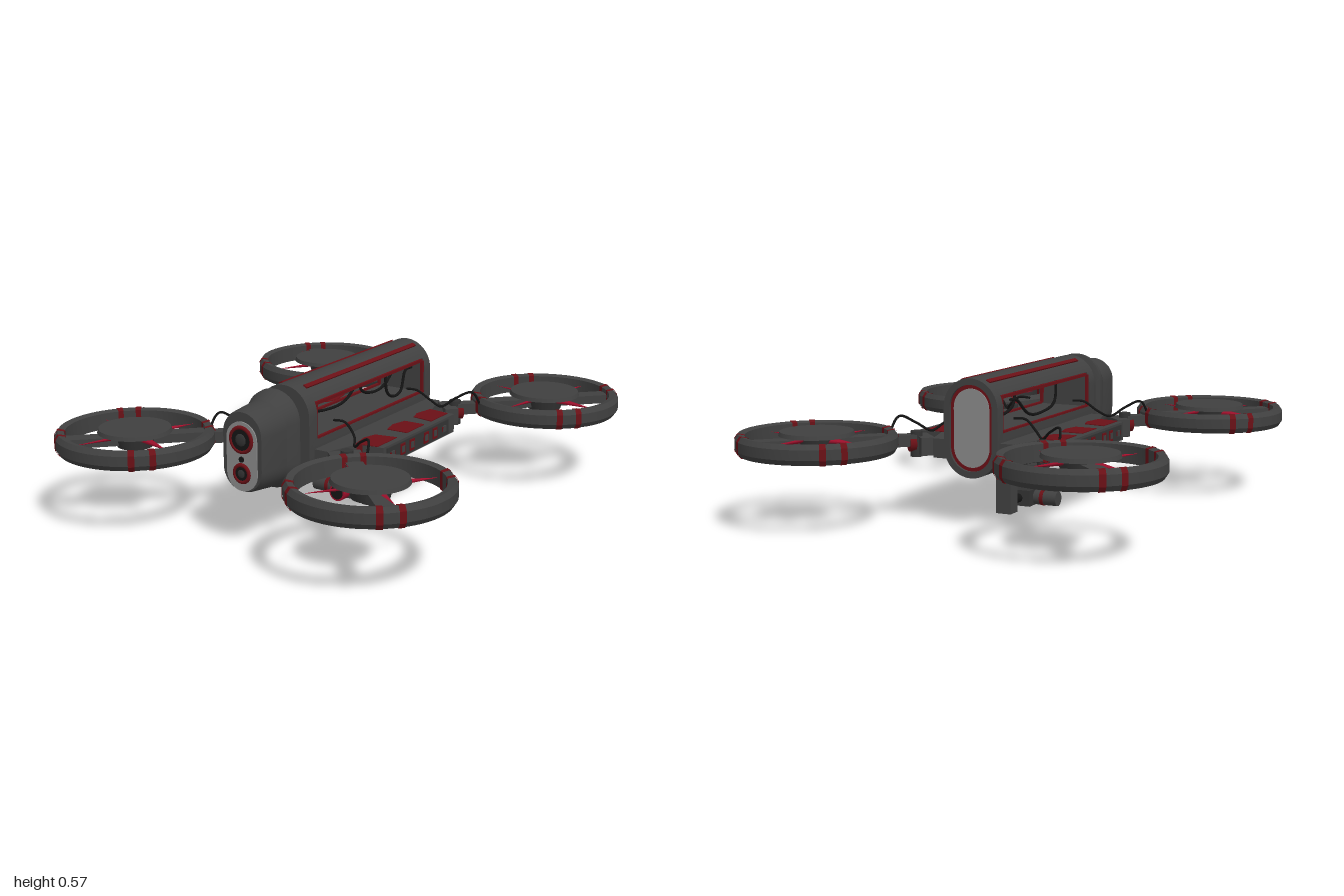
import * as THREE from 'three';
import { toCreasedNormals } from 'three/addons/utils/BufferGeometryUtils.js';

const mat = (color) => new THREE.MeshStandardMaterial({ color, side: THREE.DoubleSide });
const dark = mat(0x404040), mid = mat(0x333333), black = mat(0x141414);
const red = mat(0x6a1016), brightRed = mat(0xa0102c), grey = mat(0x8a8a8a);

function add(parent, name, geo, material, x = 0, y = 0, z = 0) {
  const m = new THREE.Mesh(geo, material);
  m.name = name;
  m.position.set(x, y, z);
  parent.add(m);
  return m;
}
const box = (w, h, d) => new THREE.BoxGeometry(w, h, d);
const cyl = (r1, r2, h, n = 32) => new THREE.CylinderGeometry(r1, r2, h, n);
const cylZ = (r1, r2, h, n = 32) => cyl(r1, r2, h, n).rotateX(Math.PI / 2);
const tube = (pts, r) => new THREE.TubeGeometry(
  new THREE.CatmullRomCurve3(pts.map((p) => new THREE.Vector3(...p))), 32, r, 8);

// Upright stadium outline: half width r, from y0 to y1, counter-clockwise
function stadium(r, y0, y1, n = 20) {
  const pts = [];
  for (let half = 0; half < 2; half++) {
    for (let i = 0; i <= n; i++) {
      const a = Math.PI * (half + i / n);
      pts.push(new THREE.Vector2(r * Math.cos(a), (half ? y0 + r : y1 - r) + r * Math.sin(a)));
    }
  }
  return pts;
}
// Extrudes an outline from z0 to z1
function extrude(pts, z0, z1, hole) {
  const shape = new THREE.Shape(pts);
  if (hole) shape.holes.push(new THREE.Path(hole));
  const g = new THREE.ExtrudeGeometry(shape, { depth: z1 - z0, bevelEnabled: false });
  return toCreasedNormals(g.translate(0, 0, z0), 0.6);
}
// Skins stadium sections [z, r, y0, y1] and closes both ends
function loft(sections) {
  const cap = ([z, , a, b]) => [z, 0, (a + b) / 2, (a + b) / 2];
  const all = [cap(sections[0]), ...sections, cap(sections[sections.length - 1])];
  const pos = [], idx = [];
  let n = 0;
  for (const [z, r, y0, y1] of all) {
    const ring = stadium(r, y0, y1);
    n = ring.length;
    ring.forEach((p) => pos.push(p.x, p.y, z));
  }
  for (let i = 0; i < all.length - 1; i++) {
    for (let j = 0; j < n; j++) {
      const a = i * n + j, b = i * n + (j + 1) % n;
      idx.push(a, b, b + n, a, b + n, a + n);
    }
  }
  const g = new THREE.BufferGeometry();
  g.setAttribute('position', new THREE.Float32BufferAttribute(pos, 3));
  g.setIndex(idx);
  return toCreasedNormals(g, 0.5);
}

function fuselage() {
  const g = new THREE.Group();
  g.name = 'fuselage';
  const R = 0.115, Y0 = 0.2, Y1 = 0.583;
  const outline = stadium(R, Y0, Y1);
  // Lower hull, roof and end frames leave an open window through the sides
  const hull = outline.map((p) => new THREE.Vector2(p.x, Math.min(p.y, 0.375)));
  add(g, 'lowerHull', extrude(hull, -0.44, 0.45), dark);
  add(g, 'roof', extrude(outline.filter((p) => p.y > 0.513), -0.44, 0.45), dark);
  add(g, 'frontFrame', extrude(outline, 0.395, 0.45), dark);
  add(g, 'rearBulkhead', extrude(stadium(0.112, 0.203, 0.58), -0.44, -0.41), dark);
  add(g, 'rearFrame', extrude(outline, -0.457, -0.41, stadium(0.09, 0.225, 0.558)), dark);
  add(g, 'rearTrim', extrude(stadium(0.09, 0.225, 0.558), -0.446, -0.435), red);
  add(g, 'rearPanel', extrude(stadium(0.075, 0.24, 0.543), -0.45, -0.435), grey);
  for (const s of [-1, 1]) {
    const strip = add(g, 'roofStrip', box(0.018, 0.012, 0.81), red, s * 0.055, 0.568, -0.015);
    strip.rotation.z = -s * 0.5;
    add(g, 'windowTrimTop', box(0.012, 0.012, 0.8), red, s * 0.098, 0.51, -0.01);
    add(g, 'windowTrimBottom', box(0.012, 0.012, 0.8), red, s * 0.108, 0.377, -0.01);
    for (const z of [-0.405, 0.39]) add(g, 'windowTrimEnd', box(0.012, 0.13, 0.01), red, s * 0.105, 0.445, z);
  }
  // Loose cables inside the bay
  [[-0.05, 0.2, -0.2, 0.39], [0.0, -0.08, -0.38, 0.41], [0.05, -0.2, -0.39, 0.38]].forEach(([x, a, b, y]) =>
    add(g, 'bayCable', tube([[x, 0.52, a], [x, y + 0.03, a - 0.015], [x, y, a * 0.65 + b * 0.35],
      [x, y + 0.01, a * 0.35 + b * 0.65], [x, 0.47, b + 0.03], [x, 0.475, b - 0.02]], 0.006), black));
  return g;
}

function head() {
  const g = new THREE.Group();
  g.name = 'head';
  const folds = [0, 1, 2, 3, 4].map((i) => {
    const k = i % 2 ? 0 : 0.025;
    return [0.44 + i * 0.018, 0.078 - k, 0.25 + k, 0.53 - k];
  });
  add(g, 'bellows', loft(folds), black);
  add(g, 'collar', loft([[0.5, 0.098, 0.23, 0.55], [0.51, 0.115, 0.2, 0.583],
    [0.53, 0.115, 0.202, 0.581], [0.585, 0.092, 0.23, 0.553]]), dark);
  add(g, 'headShell', loft([[0.575, 0.1, 0.22, 0.553], [0.6, 0.1, 0.22, 0.553],
    [0.7, 0.092, 0.232, 0.545], [0.715, 0.086, 0.238, 0.54]]), dark);
  add(g, 'facePanel', extrude(stadium(0.068, 0.24, 0.505), 0.7, 0.72), grey);
  for (const [y, r] of [[0.437, 0.052], [0.308, 0.038]]) {
    add(g, 'lensRing', new THREE.TorusGeometry(r - 0.006, 0.008, 10, 32), red, 0, y, 0.72);
    add(g, 'lens', cylZ(r - 0.008, r - 0.008, 0.01), black, 0, y, 0.72);
    add(g, 'lensGlass', new THREE.SphereGeometry(r * 0.5, 20, 8).scale(1, 1, 0.3), mid, 0, y, 0.722);
  }
  add(g, 'sensor', cylZ(0.011, 0.011, 0.008, 16), black, 0, 0.362, 0.72);
  return g;
}

// Flat side deck with red panels; s is +1 or -1
function sideDeck(s) {
  const g = new THREE.Group();
  g.name = 'sideDeck';
  const flat = (pts, top, depth) => new THREE.ExtrudeGeometry(
    new THREE.Shape(pts.map(([x, z]) => new THREE.Vector2(s * x, z))),
    { depth, bevelEnabled: false }).rotateX(Math.PI / 2).translate(0, top, 0);
  add(g, 'deck', flat([[0.08, -0.44], [0.172, -0.44], [0.215, -0.3], [0.325, -0.29],
    [0.325, 0.262], [0.215, 0.275], [0.172, 0.415], [0.08, 0.415]], 0.34, 0.075), dark);
  for (const [a, b, skew] of [[-0.28, -0.145, -0.015], [-0.09, 0.045, 0], [0.12, 0.262, 0.015]]) {
    add(g, 'deckPanel', flat([[0.3, a], [0.3, b], [0.21, b + skew], [0.195, (a + b) / 2], [0.21, a + skew]],
      0.343, 0.081), red);
  }
  add(g, 'sideSlot', box(0.008, 0.06, 0.475), mid, s * 0.325, 0.302, 0);
  for (const z of [-0.2, -0.125, -0.055, 0.055, 0.125, 0.2]) {
    add(g, 'sideMark', box(0.012, Math.abs(z) > 0.15 ? 0.018 : 0.045, 0.035), red, s * 0.326, 0.302, z);
    add(g, 'sideRib', box(0.016, 0.025, 0.022), dark, s * 0.326, 0.302, z);
  }
  return g;
}

// Ducted rotor built with local +x pointing away from the body
function rotor(x, z, bladeAngle) {
  const g = new THREE.Group();
  g.name = 'rotor';
  g.position.set(x, 0, z);
  const out = Math.atan2(-Math.sign(z), Math.sign(x));
  g.rotation.y = out;
  const ringProfile = [[0.27, 0.305], [0.295, 0.298], [0.308, 0.318], [0.308, 0.357], [0.295, 0.376], [0.27, 0.37], [0.27, 0.305]];
  const ring = (grow, start, len, n) => toCreasedNormals(new THREE.LatheGeometry(ringProfile.map(([r, y]) =>
    new THREE.Vector2(r + (r > 0.28 ? grow : -grow), y + (y > 0.337 ? grow : -grow))), n, start, len), 0.5);
  add(g, 'duct', ring(0, 0, Math.PI * 2, 64), dark);
  for (let q = 0; q < 4; q++) {
    for (const d of [-0.13, 0.13]) add(g, 'ductBand', ring(0.002, q * Math.PI / 2 + d - 0.04, 0.08, 3), red);
  }
  add(g, 'hubDisc', cyl(0.14, 0.145, 0.016, 48), dark, 0, 0.373, 0);
  add(g, 'motor', cyl(0.085, 0.07, 0.06), mid, 0, 0.337, 0);
  add(g, 'motorCap', cyl(0.045, 0.035, 0.02), dark, 0, 0.3, 0);
  for (const s of [-1, 1]) add(g, 'spoke', box(0.22, 0.035, 0.065), dark, s * 0.17, 0.335, 0);
  // Four slim tapered blades
  for (let i = 0; i < 4; i++) {
    const holder = new THREE.Group();
    holder.name = 'blade';
    holder.rotation.y = -bladeAngle * Math.PI / 180 - out + i * Math.PI / 2;
    g.add(holder);
    const blade = new THREE.ConeGeometry(0.018, 0.19, 6).rotateZ(-Math.PI / 2).scale(1, 0.4, 1);
    add(holder, 'bladeTip', blade, brightRed, 0.165, 0.35, 0).rotation.x = 0.5;
  }
  // Folding arm reaching inward to the body
  const along = (r, len, n = 20) => cyl(r, r, len, n).rotateZ(Math.PI / 2);
  add(g, 'armNeck', box(0.11, 0.045, 0.05), dark, -0.33, 0.325, 0);
  add(g, 'armCollar', along(0.032, 0.025), red, -0.372, 0.312, 0);
  add(g, 'hingeBlock', box(0.055, 0.07, 0.125), dark, -0.42, 0.305, 0);
  add(g, 'hingePin', cyl(0.024, 0.024, 0.1, 20), mid, -0.39, 0.31, 0);
  add(g, 'armRoot', along(0.027, 0.13), mid, -0.49, 0.305, 0);
  return g;
}

function gimbal() {
  const g = new THREE.Group();
  g.name = 'gimbal';
  const profile = [[0, 0.215], [0.06, 0.215], [0.06, 0.19], [0.088, 0.185], [0.088, 0.168],
    [0.072, 0.163], [0.08, 0.155], [0.066, 0.148], [0.066, 0.135], [0.05, 0.13], [0, 0.13]];
  const base = new THREE.LatheGeometry(profile.reverse().map(([r, y]) => new THREE.Vector2(r, y)), 40);
  add(g, 'gimbalBase', toCreasedNormals(base, 0.5), mid, 0, 0, -0.015);
  add(g, 'gimbalBridge', box(0.05, 0.03, 0.12), dark, 0, 0.15, -0.12);
  add(g, 'gimbalArm', box(0.065, 0.18, 0.06), dark, 0, 0.1, -0.155);
  add(g, 'gimbalAxle', cylZ(0.018, 0.018, 0.1, 20), black, 0, 0.05, -0.09);
  add(g, 'cameraBody', box(0.1, 0.065, 0.09), mid, 0, 0.05, -0.005);
  add(g, 'cameraHood', cylZ(0.036, 0.036, 0.05), brightRed, 0, 0.05, 0.062);
  add(g, 'cameraLens', cylZ(0.028, 0.028, 0.01), black, 0, 0.05, 0.085);
  add(g, 'cameraSidePod', cyl(0.03, 0.03, 0.1, 24).rotateZ(Math.PI / 2), dark, -0.1, 0.048, 0.01);
  add(g, 'cameraSideBand', cyl(0.032, 0.032, 0.015, 24).rotateZ(Math.PI / 2), red, -0.085, 0.048, 0.01);
  return g;
}

export function createModel() {
  const model = new THREE.Group();
  model.name = 'quadcopter';
  const body = new THREE.Group();
  body.name = 'body';
  body.position.x = 0.01;
  body.add(fuselage(), head(), sideDeck(1), sideDeck(-1), gimbal());
  // Arm cables arcing from the hull to each rotor
  for (const s of [-1, 1]) {
    for (const [f, z0] of [[1, 0.26], [-1, 0.29]]) {
      add(body, 'armCable', tube([[s * 0.1, 0.415, f * z0], [s * 0.15, 0.415, f * z0], [s * 0.205, 0.375, f * (z0 + 0.02)],
        [s * 0.24, 0.35, f * 0.33], [s * 0.29, 0.385, f * 0.37], [s * 0.345, 0.41, f * 0.4], [s * 0.365, 0.34, f * 0.45]], 0.005), black);
    }
  }
  model.add(body);
  for (const [x, z, a] of [[-0.55, -0.688, -61], [0.545, -0.692, -77], [-0.548, 0.66, -68], [0.542, 0.685, -53]]) {
    model.add(rotor(x, z, a));
  }
  return model;
}
